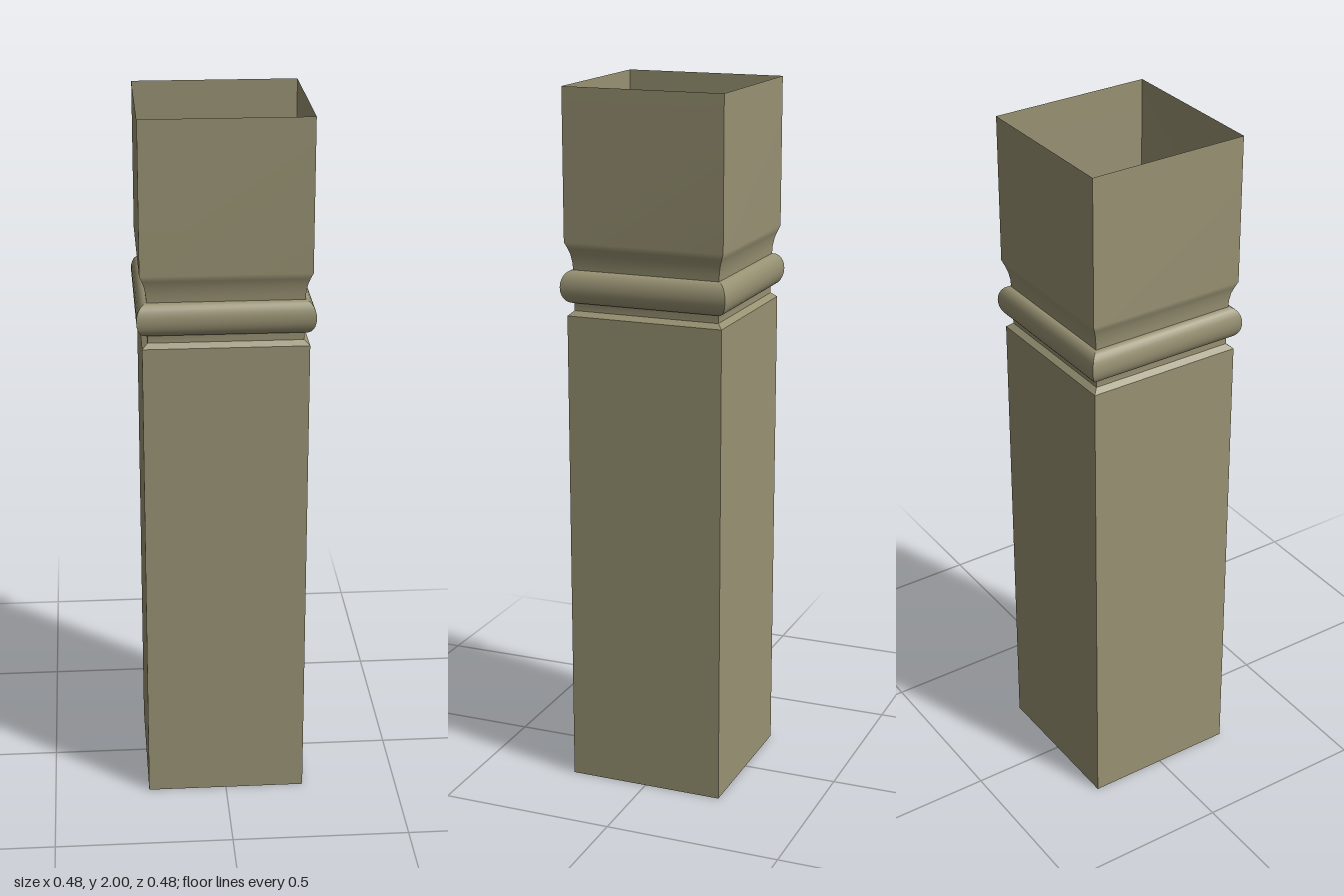
import * as THREE from 'three';

const taupe = new THREE.MeshStandardMaterial({ color: 0x989273, side: THREE.DoubleSide });
taupe.name = 'taupe';

// Sweeps a [halfWidth, y] profile (listed upwards) round a square, with mitred corners;
// shading is smooth along the profile and sharp at the corners.
function squareSweep(name, profile) {
  const pos = [], index = [];
  for (let side = 0; side < 4; side++) {
    const c = Math.round(Math.cos(side * Math.PI / 2));
    const s = Math.round(Math.sin(side * Math.PI / 2));
    const base = pos.length / 3;
    profile.forEach(([r, y], i) => {
      for (const x of [-r, r]) pos.push(x * c + r * s, y, -x * s + r * c);
      if (i === 0) return;
      const a = base + (i - 1) * 2;
      index.push(a, a + 1, a + 3, a, a + 3, a + 2);
    });
  }
  const geo = new THREE.BufferGeometry();
  geo.setAttribute('position', new THREE.Float32BufferAttribute(pos, 3));
  geo.setIndex(index);
  geo.computeVertexNormals();
  const mesh = new THREE.Mesh(geo, taupe);
  mesh.name = name;
  return mesh;
}

export function createModel() {
  const post = new THREE.Group();
  post.name = 'squarePost';

  // Rounded bead moulding
  const bead = [];
  for (let i = 0; i <= 12; i++) {
    const t = -Math.PI / 2 + Math.PI * i / 12;
    bead.push([0.213 + 0.028 * Math.cos(t), 1.456 + 0.046 * Math.sin(t)]);
  }

  post.add(
    squareSweep('shaft', [[0.226, 0], [0.226, 1.375]]),
    squareSweep('shaftBevel', [[0.226, 1.375], [0.211, 1.388]]),
    squareSweep('neck', [[0.211, 1.388], [0.211, 1.41], [0.213, 1.41]]),
    squareSweep('bead', bead),
    // Cove flaring into the open upper block
    squareSweep('upperBlock', [[0.213, 1.502], [0.214, 1.522], [0.218, 1.545],
      [0.224, 1.563], [0.231, 1.58], [0.231, 2]])
  );

  // Closed foot of the hollow shell
  const foot = new THREE.Mesh(new THREE.PlaneGeometry(0.452, 0.452), taupe);
  foot.rotation.x = Math.PI / 2;
  foot.name = 'foot';
  post.add(foot);

  return post;
}
